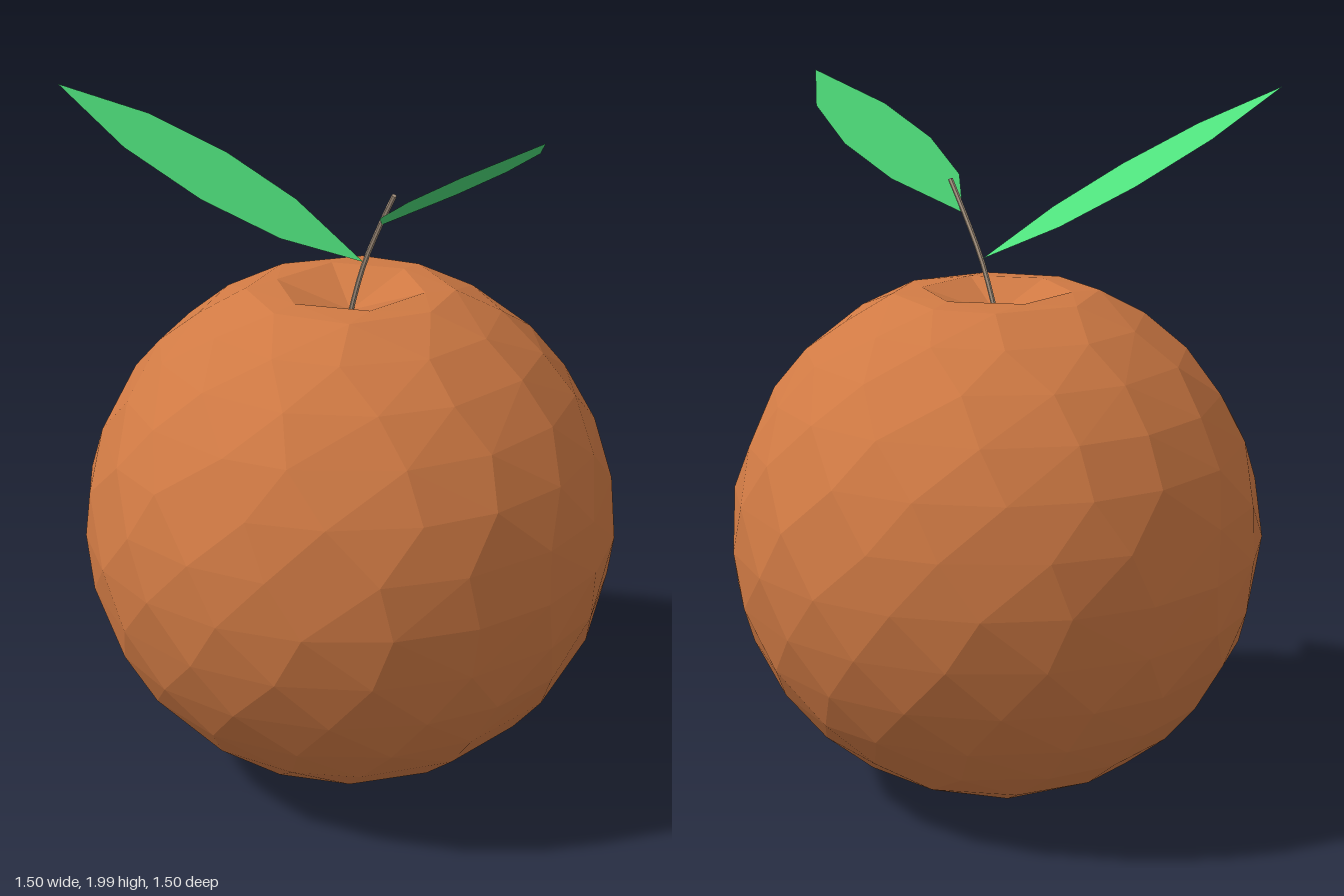
import * as THREE from 'three';
import { ConvexGeometry } from 'three/addons/geometries/ConvexGeometry.js';

const material = (color, extra = {}) =>
  new THREE.MeshStandardMaterial({ color, flatShading: true, ...extra });

function addPart(group, name, geometry, mat) {
  const mesh = new THREE.Mesh(geometry, mat);
  mesh.name = name;
  group.add(mesh);
}

// Faceted sphere of staggered rings; its top pole is pushed in as a dimple
function fruitGeometry() {
  const R = 0.75;
  let seed = 7;
  const rand = () => (seed = (seed * 16807) % 2147483647) / 2147483647 - 0.5;
  const points = [new THREE.Vector3(0, 0.005, 0), new THREE.Vector3(0, 1.46, 0)];
  const ring = (radius, y, count, turn, jitter) => {
    for (let i = 0; i < count; i++) {
      const a = ((i + turn + jitter * rand()) / count) * Math.PI * 2;
      points.push(new THREE.Vector3(Math.sin(a) * radius, y, Math.cos(a) * radius));
    }
  };
  const counts = [8, 12, 14, 16, 18, 18, 20, 18, 18, 16, 14, 12, 8];
  counts.forEach((count, i) => {
    const lat = ((i - 6) * Math.PI) / 16;
    ring(R * Math.cos(lat), R + R * Math.sin(lat), count, i % 2 ? 0.5 : 0, i === 6 ? 0 : 0.3);
  });
  ring(0.21, 1.45, 6, 0, 0); // dimple rim
  const geometry = new ConvexGeometry(points);
  const pos = geometry.attributes.position;
  for (let i = 0; i < pos.count; i++) if (pos.getY(i) > 1.455) pos.setY(i, 1.38);
  geometry.computeVertexNormals();
  return geometry;
}

// Flat leaf: outline in [x, z], lifted onto a sloping plane through its base
function leafGeometry(outline, baseY, slopeX, slopeZ) {
  const [bx, bz] = outline[0];
  const points = outline.map(([x, z]) =>
    new THREE.Vector3(x, baseY + slopeX * (x - bx) + slopeZ * (z - bz), z));
  const geometry = new THREE.BufferGeometry().setFromPoints(points);
  const index = [];
  for (let i = 1; i < points.length - 1; i++) index.push(0, i, i + 1);
  geometry.setIndex(index);
  geometry.computeVertexNormals();
  return geometry;
}

export function createModel() {
  const group = new THREE.Group();
  group.name = 'fruit';
  addPart(group, 'fruitBody', fruitGeometry(), material(0xd07a44));

  // Thin bent stem, closed at the tip
  const path = new THREE.CatmullRomCurve3([
    new THREE.Vector3(0, 1.37, 0),
    new THREE.Vector3(0.025, 1.45, 0),
    new THREE.Vector3(0.055, 1.53, 0),
    new THREE.Vector3(0.115, 1.65, 0),
    new THREE.Vector3(0.165, 1.74, 0),
  ]);
  const stemMaterial = material(0xb09c88, { side: THREE.DoubleSide });
  addPart(group, 'stem', new THREE.TubeGeometry(path, 8, 0.007, 6), stemMaterial);
  const cap = new THREE.CircleGeometry(0.007, 6);
  cap.lookAt(path.getTangent(1));
  cap.translate(0.165, 1.74, 0);
  addPart(group, 'stemTip', cap, stemMaterial);

  // Two flat leaves
  const leafMaterial = material(0x4fe07c, { side: THREE.DoubleSide });
  addPart(group, 'rightLeaf', leafGeometry([
    [0.05, 0], [-0.22, -0.005], [-0.4, 0.085], [-0.525, 0.255],
    [-0.57, 0.525], [-0.3, 0.525], [-0.11, 0.43], [0.01, 0.265],
  ], 1.53, -0.444, 0.37), leafMaterial);
  addPart(group, 'leftLeaf', leafGeometry([
    [0.12, 0], [0.255, 0.145], [0.405, 0.195], [0.56, 0.17],
    [0.725, 0.055], [0.585, -0.09], [0.43, -0.14], [0.28, -0.115],
  ], 1.65, 0.578, 0), leafMaterial);
  return group;
}
